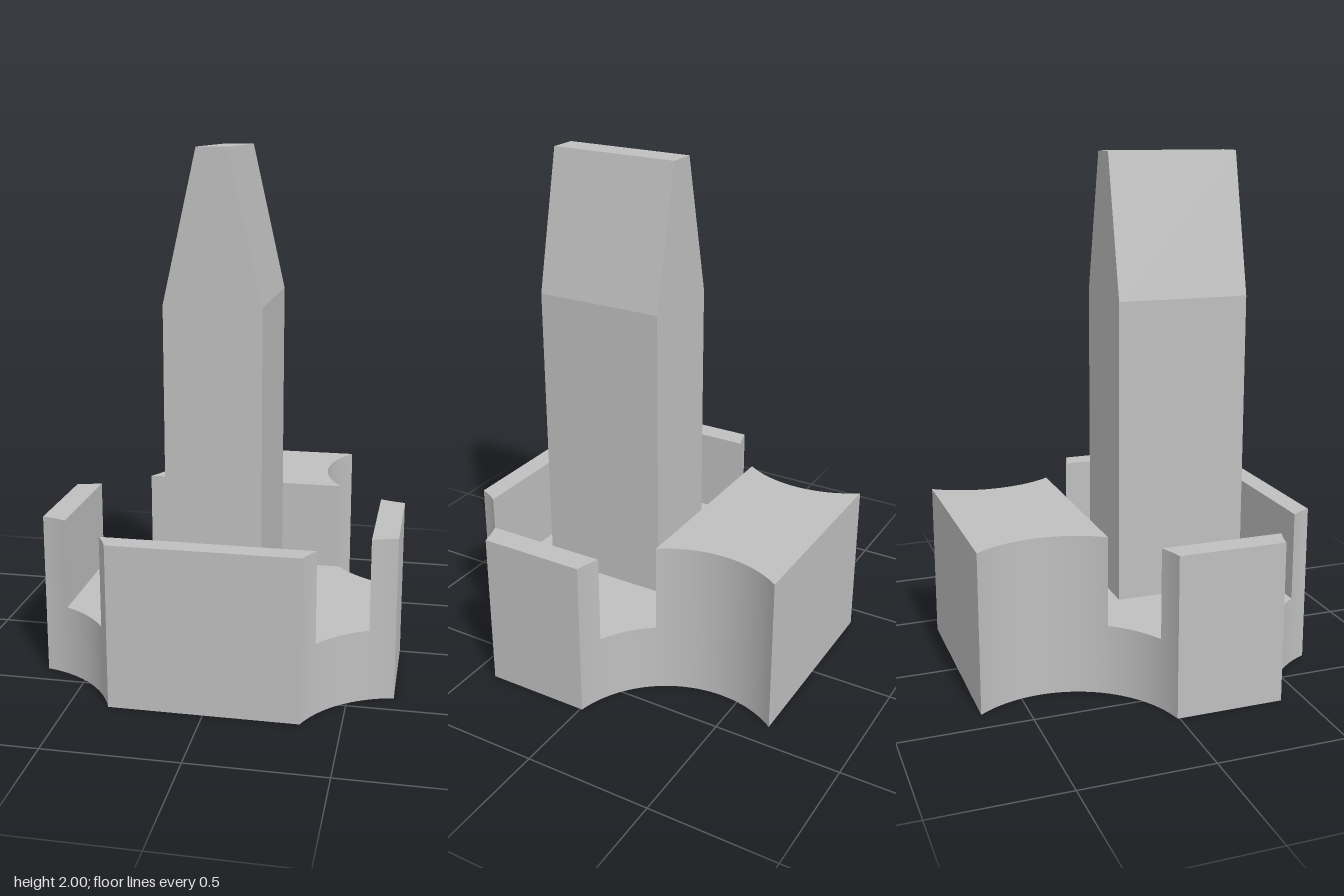
import * as THREE from 'three';
import { toCreasedNormals } from 'three/addons/utils/BufferGeometryUtils.js';

const FLOOR = 0.275, RIM = 0.625;     // tray floor and wall heights
const BACK = -0.672, FRONT = 0.67;    // footprint ends in z
const SIDE = 0.67, INNER = 0.575;     // outer and inner face of the side walls
const CX = 0.746, R = 0.4237;         // round corner scoops
const BACK_Z = -0.425, FRONT_Z = 0.827;

// Scoop angle at a given x, or at a given z
const atX = (x) => Math.acos((CX - x) / R);
const atZ = (z, cz) => Math.asin((z - cz) / R);

// Points [x, z] along a scoop on the +x side
function scoop(cz, a0, a1, n = 24) {
  return Array.from({ length: n + 1 }, (_, i) => {
    const a = a0 + (a1 - a0) * i / n;
    return [CX - R * Math.cos(a), cz + R * Math.sin(a)];
  });
}

const flip = (points) => points.map(([x, z]) => [-x, z]);
const symmetric = (half) => [...half, ...flip(half).reverse()];

// Upright prism over an [x, z] outline
function prism(name, outline, y0, y1, material) {
  const shape = new THREE.Shape(outline.map(([x, z]) => new THREE.Vector2(x, -z)));
  const geometry = new THREE.ExtrudeGeometry(shape, { depth: y1 - y0, bevelEnabled: false });
  geometry.rotateX(-Math.PI / 2).translate(0, y0, 0);
  const mesh = new THREE.Mesh(toCreasedNormals(geometry, 0.4), material);
  mesh.name = name;
  return mesh;
}

export function createModel() {
  const group = new THREE.Group();
  group.name = 'bladeOnBase';
  const grey = new THREE.MeshStandardMaterial({ color: 0xbfbfbf });
  grey.name = 'grey';

  // Base slab with four scooped corners
  const slab = symmetric([
    ...scoop(BACK_Z, atZ(BACK, BACK_Z), atX(SIDE), 40),
    ...scoop(FRONT_Z, -atX(SIDE), atZ(FRONT, FRONT_Z)),
  ]);
  group.add(prism('baseSlab', slab, 0, FLOOR, grey));

  // Thick back block and thin front wall
  const back = symmetric(scoop(BACK_Z, atZ(BACK, BACK_Z), atZ(-0.18, BACK_Z), 32));
  group.add(prism('backBlock', back, FLOOR, RIM, grey));
  const front = symmetric(scoop(FRONT_Z, atZ(0.588, FRONT_Z), atZ(FRONT, FRONT_Z), 8));
  group.add(prism('frontWall', front, FLOOR, RIM, grey));

  // Side walls
  const side = [
    ...scoop(BACK_Z, atX(INNER), atX(SIDE), 8),
    ...scoop(FRONT_Z, -atX(SIDE), -atX(INNER), 8),
  ];
  group.add(prism('leftWall', side, FLOOR, RIM, grey));
  group.add(prism('rightWall', flip(side), FLOOR, RIM, grey));

  // Upright blade with a tapered top
  const profile = new THREE.Shape([
    [-0.178, FLOOR], [0.178, FLOOR], [0.178, 1.455],
    [0.055, 2], [-0.055, 2], [-0.178, 1.455],
  ].map(([x, y]) => new THREE.Vector2(x, y)));
  const bladeGeometry = new THREE.ExtrudeGeometry(profile, { depth: 0.52, bevelEnabled: false });
  bladeGeometry.translate(0, 0, -0.057);
  const blade = new THREE.Mesh(toCreasedNormals(bladeGeometry, 0.1), grey);
  blade.name = 'blade';
  group.add(blade);

  return group;
}
